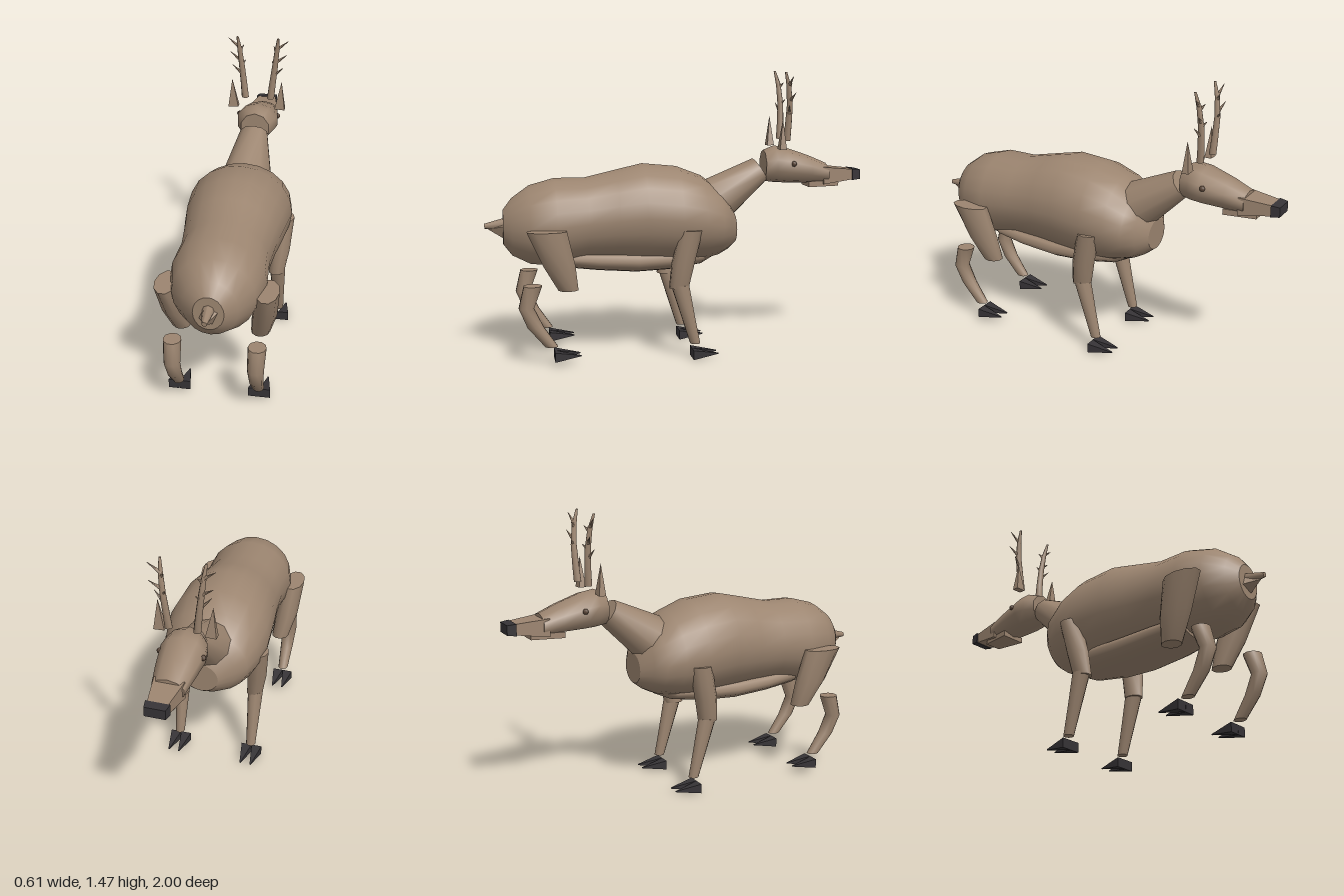
import * as THREE from 'three';
import { toCreasedNormals } from 'three/addons/utils/BufferGeometryUtils.js';

const mat = (name, color) => {
  const m = new THREE.MeshStandardMaterial({ color });
  m.name = name;
  return m;
};

// Joins rings [x, y, z, halfWidth, halfDepth], listed by rising z (or rising y for 'y')
function loft(rings, n, axis = 'z', phase = 0) {
  const pos = [], idx = [];
  const addRing = ([x, y, z, rx, r]) => {
    for (let j = 0; j < n; j++) {
      const a = phase + (j / n) * Math.PI * 2, c = rx * Math.cos(a), s = r * Math.sin(a);
      if (axis === 'z') pos.push(x + c, y + s, z);
      else pos.push(x + c, y, z - s);
    }
  };
  rings.forEach(addRing);
  for (let i = 0; i < rings.length - 1; i++) {
    for (let j = 0; j < n; j++) {
      const a = i * n + j, b = i * n + (j + 1) % n;
      idx.push(a, b, a + n, b, b + n, a + n);
    }
  }
  // end caps with their own corners
  const first = pos.length / 3, last = first + n;
  addRing(rings[0]);
  addRing(rings[rings.length - 1]);
  for (let j = 1; j < n - 1; j++) {
    idx.push(first, first + j + 1, first + j, last, last + j, last + j + 1);
  }
  const g = new THREE.BufferGeometry();
  g.setAttribute('position', new THREE.Float32BufferAttribute(pos, 3));
  g.setIndex(idx);
  g.computeVertexNormals();
  return g;
}

// Tapered round bar between two points
function bar(from, to, r0, r1, n) {
  const a = new THREE.Vector3(...from), b = new THREE.Vector3(...to), d = b.clone().sub(a);
  const g = new THREE.CylinderGeometry(r1, r0, d.length(), n);
  g.applyQuaternion(new THREE.Quaternion().setFromUnitVectors(new THREE.Vector3(0, 1, 0), d.normalize()));
  const c = a.add(b).multiplyScalar(0.5);
  return g.translate(c.x, c.y, c.z);
}

const sharp = (g, angle = 0.5) => toCreasedNormals(g, angle);

export function createModel() {
  const model = new THREE.Group();
  const hide = mat('tan hide', 0x9c8570);
  const dark = mat('dark hoof', 0x363336);
  const eyeMat = mat('brown eye', 0x5a4638);
  const add = (name, geo, material = hide, parent = model) => {
    const m = new THREE.Mesh(geo, material);
    m.name = name;
    parent.add(m);
    return m;
  };

  // Torso and belly
  add('torso', loft([
    [0, 0.65, -0.315, 0.09, 0.08], [0, 0.68, -0.27, 0.17, 0.145], [0, 0.69, -0.22, 0.22, 0.18],
    [0, 0.71, -0.13, 0.255, 0.225], [0, 0.73, 0, 0.275, 0.255], [0, 0.745, 0.18, 0.26, 0.258],
    [0, 0.735, 0.32, 0.24, 0.237], [0, 0.72, 0.48, 0.225, 0.215], [0, 0.705, 0.64, 0.237, 0.23],
    [0, 0.695, 0.77, 0.205, 0.205], [0, 0.685, 0.86, 0.135, 0.15], [0, 0.685, 0.905, 0.075, 0.09],
  ], 20));
  add('belly', loft([
    [0, 0.53, -0.2, 0.05, 0.03], [0, 0.52, -0.12, 0.14, 0.055], [0, 0.51, 0.05, 0.175, 0.068],
    [0, 0.505, 0.22, 0.18, 0.07], [0, 0.515, 0.42, 0.17, 0.065], [0, 0.53, 0.6, 0.14, 0.06],
  ], 16));

  // Neck
  const neck = bar([0, 0.79, -0.2], [0, 0.96, -0.455], 0.13, 0.07, 10);
  add('neck', sharp(neck.scale(1.1, 1, 1), 0.9));

  // Head, muzzle, jaw and nose
  add('head', loft([
    [0, 0.93, -0.82, 0.083, 0.057], [0, 0.955, -0.72, 0.1, 0.075], [0, 0.98, -0.59, 0.118, 0.095],
    [0, 0.987, -0.53, 0.11, 0.098], [0, 0.98, -0.475, 0.08, 0.083],
  ], 10, 'z', Math.PI / 10));
  const q = Math.SQRT2;
  add('muzzle', sharp(loft([
    [0, 0.927, -0.96, 0.05 * q, 0.027 * q], [0, 0.925, -0.79, 0.076 * q, 0.046 * q],
  ], 4, 'z', Math.PI / 4)));
  add('jaw', sharp(loft([
    [0, 0.882, -0.88, 0.048 * q, 0.015 * q], [0, 0.88, -0.71, 0.07 * q, 0.015 * q],
  ], 4, 'z', Math.PI / 4)));
  add('nose', sharp(loft([
    [0, 0.927, -1, 0.052 * q, 0.025 * q], [0, 0.927, -0.955, 0.06 * q, 0.03 * q],
  ], 4, 'z', Math.PI / 4)), dark);

  // Tail
  add('tail', bar([0, 0.705, 0.87], [0, 0.692, 1], 0.035, 0.013, 8));
  const root = new THREE.ConeGeometry(0.065, 0.1, 4).rotateX(Math.PI / 2).rotateZ(0.4);
  add('tailRoot', sharp(root.translate(0, 0.675, 0.93)));

  for (const s of [1, -1]) {
    const side = new THREE.Group();
    side.name = s > 0 ? 'leftSide' : 'rightSide';
    model.add(side);
    const part = (name, geo, material = hide) => add(name, geo, material, side);

    // Eye and ear
    part('eye', new THREE.SphereGeometry(0.015, 8, 6).translate(s * 0.108, 0.995, -0.615), eyeMat);
    const ear = new THREE.ConeGeometry(0.028 * q, 0.16, 4).rotateY(Math.PI / 4).scale(1, 1, 0.65);
    part('ear', sharp(ear.rotateZ(-s * 0.05).translate(s * 0.133, 1.155, -0.543)));

    // Antler beam, bending in steps
    const beam = [[0.071, 1.115, -0.583, 0.02], [0.08, 1.2, -0.588, 0.018],
      [0.092, 1.3, -0.591, 0.016], [0.103, 1.4, -0.582, 0.013], [0.111, 1.475, -0.563, 0.006]];
    part('antler', loft(beam.map(([x, y, z, r]) => [s * x, y, z, r, r]), 8, 'y'));
    // Tines
    const tines = [
      [0.1, 1.405, -0.582, 0.165, 1.455, -0.59], [0.095, 1.325, -0.59, 0.157, 1.37, -0.605],
      [0.087, 1.25, -0.59, 0.14, 1.305, -0.575], [0.1, 1.39, -0.585, 0.082, 1.415, -0.605],
      [0.092, 1.3, -0.59, 0.073, 1.325, -0.612],
    ];
    for (const [x, y, z, tx, ty, tz] of tines) {
      part('tine', bar([s * x, y, z], [s * tx, ty, tz], 0.011, 0.001, 5));
    }

    // Front leg
    part('frontUpperLeg', loft([
      [s * 0.2, 0.375, 0.018, 0.043, 0.052], [s * 0.215, 0.5, 0, 0.052, 0.06],
      [s * 0.232, 0.68, -0.04, 0.052, 0.06],
    ], 10, 'y'));
    part('frontLowerLeg', loft([
      [s * 0.205, 0.078, -0.067, 0.026, 0.027], [s * 0.205, 0.22, -0.03, 0.033, 0.036],
      [s * 0.205, 0.39, 0.013, 0.042, 0.048],
    ], 10, 'y'));

    // Hind leg
    part('hindThigh', loft([
      [s * 0.2, 0.385, 0.588, 0.048, 0.053], [s * 0.225, 0.52, 0.635, 0.062, 0.085],
      [s * 0.247, 0.695, 0.695, 0.058, 0.105],
    ], 10, 'y'));
    part('hindShank', loft([
      [s * 0.205, 0.095, 0.677, 0.028, 0.034], [s * 0.205, 0.2, 0.757, 0.036, 0.043],
      [s * 0.207, 0.3, 0.802, 0.042, 0.04], [s * 0.21, 0.415, 0.767, 0.046, 0.048],
    ], 10, 'y'));

    // Cloven hooves: paired pointed wedges
    for (const [name, y, z] of [['frontHoof', 0.027, -0.05], ['hindHoof', 0.05, 0.663]]) {
      for (const x of [0.177, 0.234]) {
        part(name, sharp(loft([
          [s * x, y - 0.002, z - 0.135, 0.004, 0.003], [s * x, y, z, 0.028 * q, 0.025 * q],
        ], 4, 'z', Math.PI / 4)), dark);
      }
    }
  }
  return model;
}
